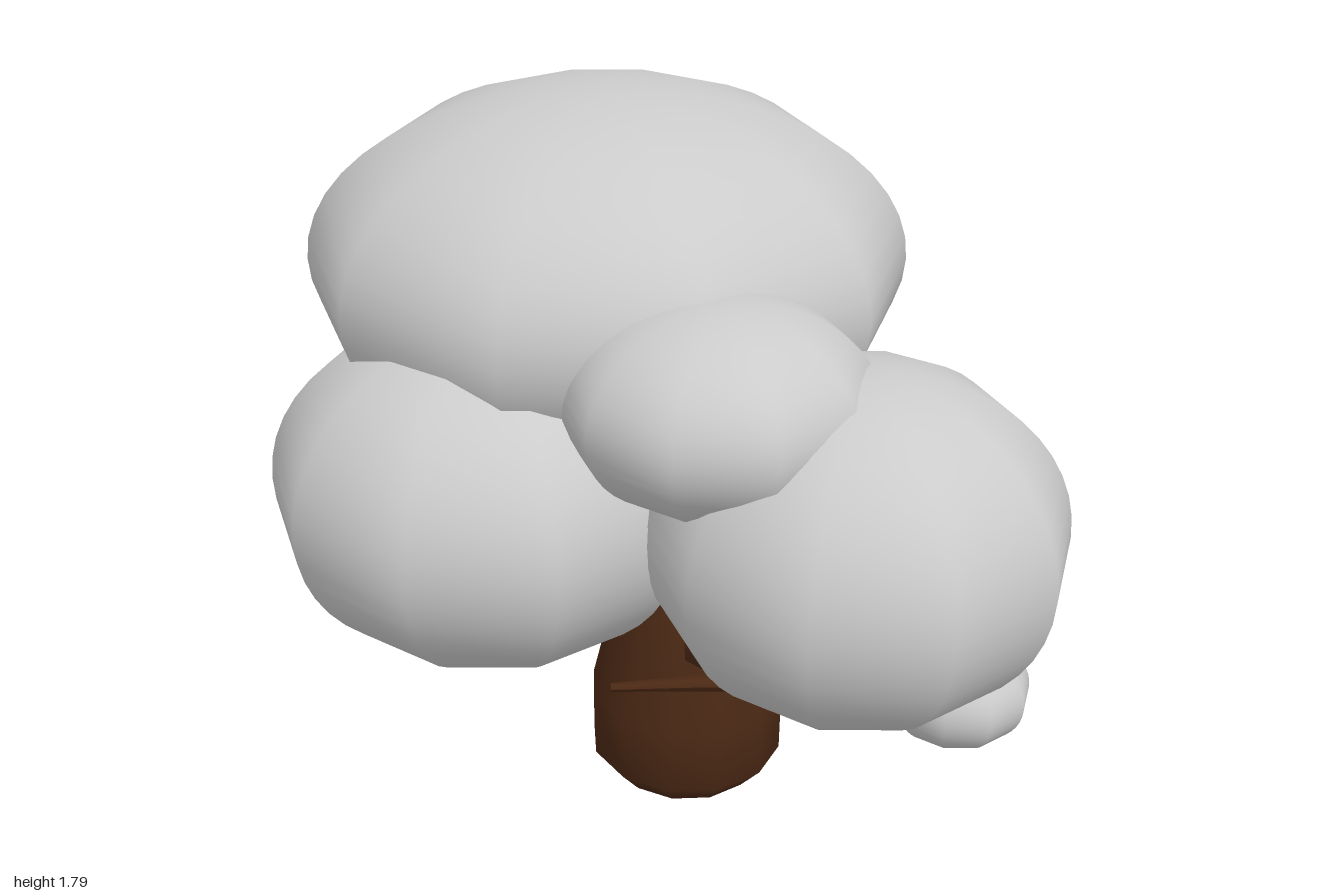
import * as THREE from 'three';

const grey = new THREE.MeshStandardMaterial({ color: 0xcccccc });
const bark = new THREE.MeshStandardMaterial({ color: 0x4a2814 });

// Ten-sided, smooth-shaded ellipsoid with a corner facing +z
function foliage(name, [x, y, z], radius, height) {
  const geometry = new THREE.SphereGeometry(1, 10, 24);
  geometry.rotateY(Math.PI / 2);
  const mesh = new THREE.Mesh(geometry, grey);
  mesh.name = name;
  mesh.scale.set(radius, height, radius);
  mesh.position.set(x, y, z);
  return mesh;
}

// Tube along a curve, tapering from r0 to r1
function limb(name, points, r0, r1) {
  const curve = new THREE.CatmullRomCurve3(points.map(p => new THREE.Vector3(...p)));
  const segments = 8, sides = 7;
  const geometry = new THREE.TubeGeometry(curve, segments, 1, sides);
  const pos = geometry.attributes.position;
  const v = new THREE.Vector3();
  for (let i = 0; i < pos.count; i++) {
    const t = Math.floor(i / (sides + 1)) / segments;
    const centre = curve.getPointAt(t);
    v.fromBufferAttribute(pos, i).sub(centre).multiplyScalar(THREE.MathUtils.lerp(r0, r1, t)).add(centre);
    pos.setXYZ(i, v.x, v.y, v.z);
  }
  geometry.computeVertexNormals();
  const mesh = new THREE.Mesh(geometry, bark);
  mesh.name = name;
  return mesh;
}

export function createModel() {
  const tree = new THREE.Group();
  tree.name = 'tree';

  // Trunk: swollen foot narrowing into the crown
  const profile = [[0, 0.005], [0.19, 0.01], [0.25, 0.08], [0.25, 0.25], [0.185, 0.53],
    [0.12, 0.67], [0.08, 0.85], [0.05, 1.05], [0, 1.06]];
  const trunk = new THREE.Mesh(
    new THREE.LatheGeometry(profile.map(p => new THREE.Vector2(...p)), 12), bark);
  trunk.name = 'trunk';
  trunk.position.set(0.205, 0, -0.09);
  tree.add(trunk);

  // Front branch with two twigs
  tree.add(
    limb('frontBranch', [[0.21, 0.46, 0], [0.22, 0.51, 0.17], [0.21, 0.57, 0.42]], 0.11, 0.025),
    limb('frontTwigLeft', [[0.2, 0.565, 0.4], [0.36, 0.575, 0.47], [0.6, 0.56, 0.57]], 0.03, 0.02),
    limb('frontTwigRight', [[0.23, 0.56, 0.4], [0.05, 0.59, 0.4], [-0.15, 0.6, 0.37]], 0.028, 0.01));

  // Back branch with three twigs
  const fork = [-0.03, 0.84, -0.52];
  tree.add(
    limb('backBranch', [[0.18, 0.62, -0.12], [0.08, 0.72, -0.32], fork], 0.09, 0.03),
    limb('backTwigRight', [fork, [-0.22, 0.87, -0.55], [-0.42, 0.93, -0.58]], 0.03, 0.01),
    limb('backTwigLeft', [fork, [0.06, 0.87, -0.62], [0.15, 0.9, -0.76]], 0.03, 0.02),
    limb('backTwigUp', [fork, [-0.02, 0.95, -0.52], [0.02, 1.1, -0.48]], 0.025, 0.015));

  // Crown
  tree.add(
    foliage('crownTop', [0.045, 1.38, -0.265], 0.715, 0.42),
    foliage('crownRight', [-0.307, 0.97, -0.01], 0.518, 0.41),
    foliage('crownFrontLeft', [0.355, 0.985, 0.53], 0.465, 0.395),
    foliage('crownLeft', [0.443, 0.855, -0.12], 0.375, 0.325),
    foliage('crownFront', [0.08, 1.29, 0.4], 0.34, 0.23),
    foliage('frontTuft', [0.61, 0.58, 0.578], 0.168, 0.13),
    foliage('backTuft', [0.16, 0.905, -0.78], 0.22, 0.195));

  return tree;
}
